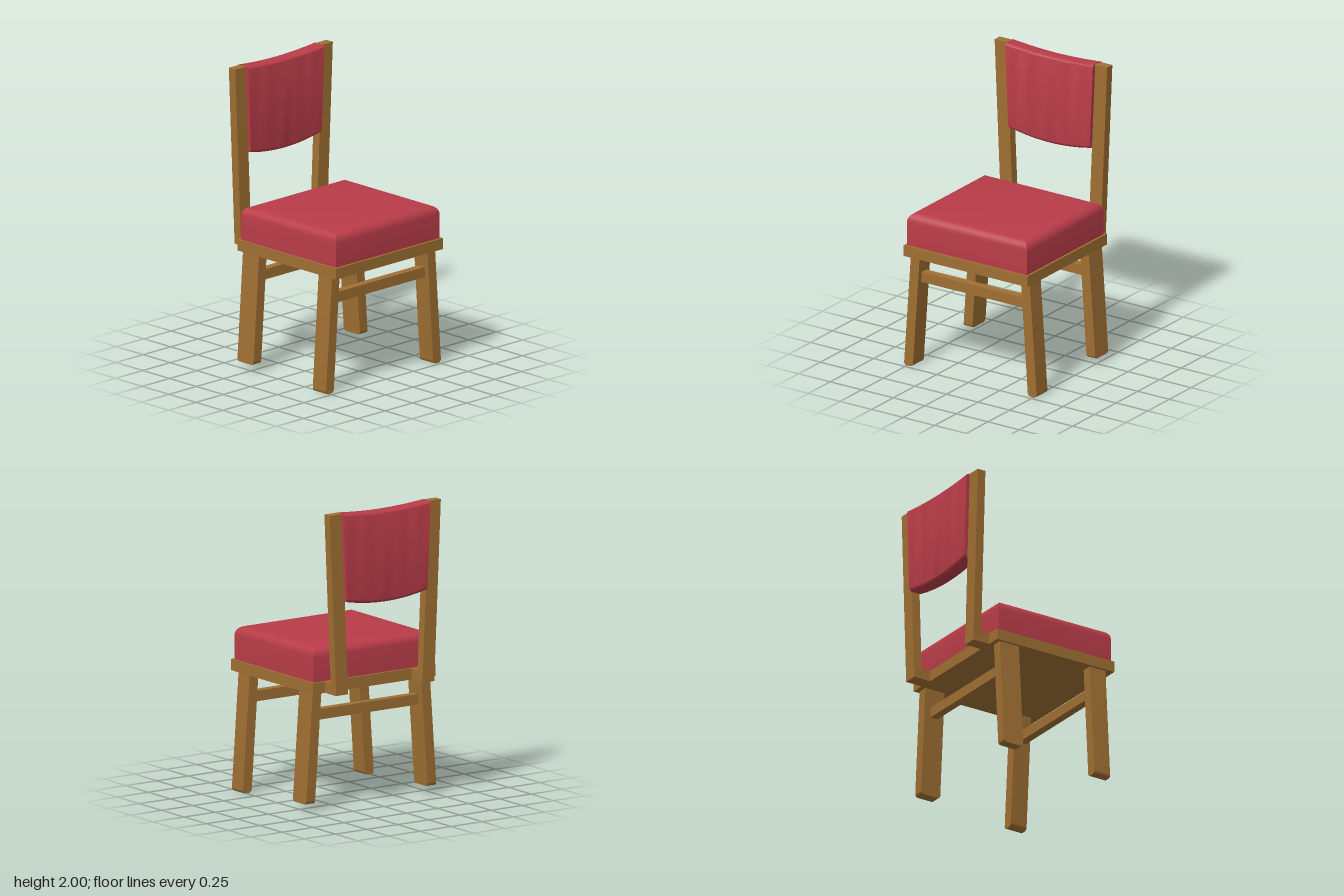
import * as THREE from 'three';
import { toCreasedNormals } from 'three/addons/utils/BufferGeometryUtils.js';

const wood = new THREE.MeshStandardMaterial({ name: 'wood', color: 0xa07033 });
const red = new THREE.MeshStandardMaterial({ name: 'redUpholstery', color: 0xb93c48 });

// Moves every vertex by a rule, then rebuilds normals with sharp corners kept
function reshape(geometry, rule) {
  const pos = geometry.attributes.position;
  const v = new THREE.Vector3();
  for (let i = 0; i < pos.count; i++) {
    rule(v.fromBufferAttribute(pos, i));
    pos.setXYZ(i, v.x, v.y, v.z);
  }
  return toCreasedNormals(geometry, 0.6);
}

// Upright panel from y0 to y1, with rounded bottom and top corners, extruded about its centre
function panel(width, y0, y1, depth, rBottom, rTop, steps = 1) {
  const a = width / 2, s = new THREE.Shape();
  s.moveTo(-a + rBottom, y0);
  s.lineTo(a - rBottom, y0);
  if (rBottom) s.absarc(a - rBottom, y0 + rBottom, rBottom, -Math.PI / 2, 0);
  s.lineTo(a, y1 - rTop);
  if (rTop) s.absarc(a - rTop, y1 - rTop, rTop, 0, Math.PI / 2);
  s.lineTo(-a + rTop, y1);
  if (rTop) s.absarc(-a + rTop, y1 - rTop, rTop, Math.PI / 2, Math.PI);
  s.lineTo(-a, y0 + rBottom);
  if (rBottom) s.absarc(-a + rBottom, y0 + rBottom, rBottom, Math.PI, Math.PI * 1.5);
  const g = new THREE.ExtrudeGeometry(s, { depth, steps, bevelEnabled: false, curveSegments: 5 });
  return g.translate(0, 0, -depth / 2);
}

// Square cushion: stacked rectangles that draw in along a quarter round at the top
function cushionGeometry(w, h, d, r) {
  const rings = [[0, 0]];
  for (let i = 0; i <= 5; i++) {
    const t = (i / 5) * Math.PI / 2;
    rings.push([r * (1 - Math.cos(t)), h - r + r * Math.sin(t)]);
  }
  const corners = [[-1, 1], [1, 1], [1, -1], [-1, -1]];
  const p = [], idx = [];
  for (const [inset, y] of rings) {
    for (const [x, z] of corners) p.push(x * (w / 2 - inset), y, z * (d / 2 - inset));
  }
  for (let i = 0; i < rings.length - 1; i++) {
    for (let j = 0; j < 4; j++) {
      const a = i * 4 + j, b = i * 4 + (j + 1) % 4;
      idx.push(a, b, b + 4, a, b + 4, a + 4);
    }
  }
  const t = (rings.length - 1) * 4;
  idx.push(t, t + 1, t + 2, t, t + 2, t + 3, 0, 2, 1, 0, 3, 2);
  const g = new THREE.BufferGeometry();
  g.setAttribute('position', new THREE.Float32BufferAttribute(p, 3));
  g.setIndex(idx);
  return toCreasedNormals(g, 0.6);
}

export function createModel() {
  const chair = new THREE.Group();
  chair.name = 'chair';

  const add = (name, geometry, material, x = 0, y = 0, z = 0) => {
    const mesh = new THREE.Mesh(geometry, material);
    mesh.name = name;
    mesh.position.set(x, y, z);
    chair.add(mesh);
  };
  const box = (name, w, h, d, x, y, z) => add(name, new THREE.BoxGeometry(w, h, d), wood, x, y, z);

  // Seat
  box('seatFrame', 0.98, 0.075, 0.92, 0, 0.8275, 0.072);
  add('seatCushion', cushionGeometry(0.95, 0.225, 0.885, 0.06), red, 0, 0.865, 0.0725);

  for (const [side, s] of [['left', 1], ['right', -1]]) {
    // Legs splay outwards towards the floor
    const splay = (v) => { v.x += s * (0.491 - 0.07 * v.y); };
    add(side + 'FrontLeg', reshape(panel(0.07, 0, 0.8, 0.125, 0.022, 0), splay), wood, 0, 0, 0.413);
    const backLeg = panel(0.15, 0.05, 0.8, 0.07, 0.022, 0).rotateY(Math.PI / 2);
    add(side + 'BackLeg', reshape(backLeg, splay), wood, 0, 0, -0.28);

    // Back post and the bracket that carries it
    const post = new THREE.BoxGeometry(0.095, 1.21, 0.06).translate(0, 1.395, 0);
    add(side + 'BackPost', reshape(post, (v) => { v.x += s * (0.346 + 0.0435 * (v.y - 0.79)); }), wood, 0, 0, -0.482);
    box(side + 'PostBracket', 0.097, 0.075, 0.125, s * 0.347, 0.8275, -0.449);
  }

  // Stretchers between each pair of legs
  box('frontStretcher', 0.84, 0.07, 0.055, 0, 0.63, 0.413);
  box('backStretcher', 0.84, 0.07, 0.055, 0, 0.63, -0.28);

  // Back cushion: widens upwards, with sagging top and bottom edges
  const back = panel(0.105, 1.41, 2, 2, 0.025, 0.018, 10).rotateY(Math.PI / 2);
  add('backCushion', reshape(back, (v) => {
    const k = (v.y - 1.41) / 0.59;
    const u = v.x;
    v.x = u * (0.323 + 0.025 * k);
    v.y -= (0.036 - 0.018 * k) * (1 - u * u);
  }), red, 0, 0, -0.4825);

  return chair;
}
